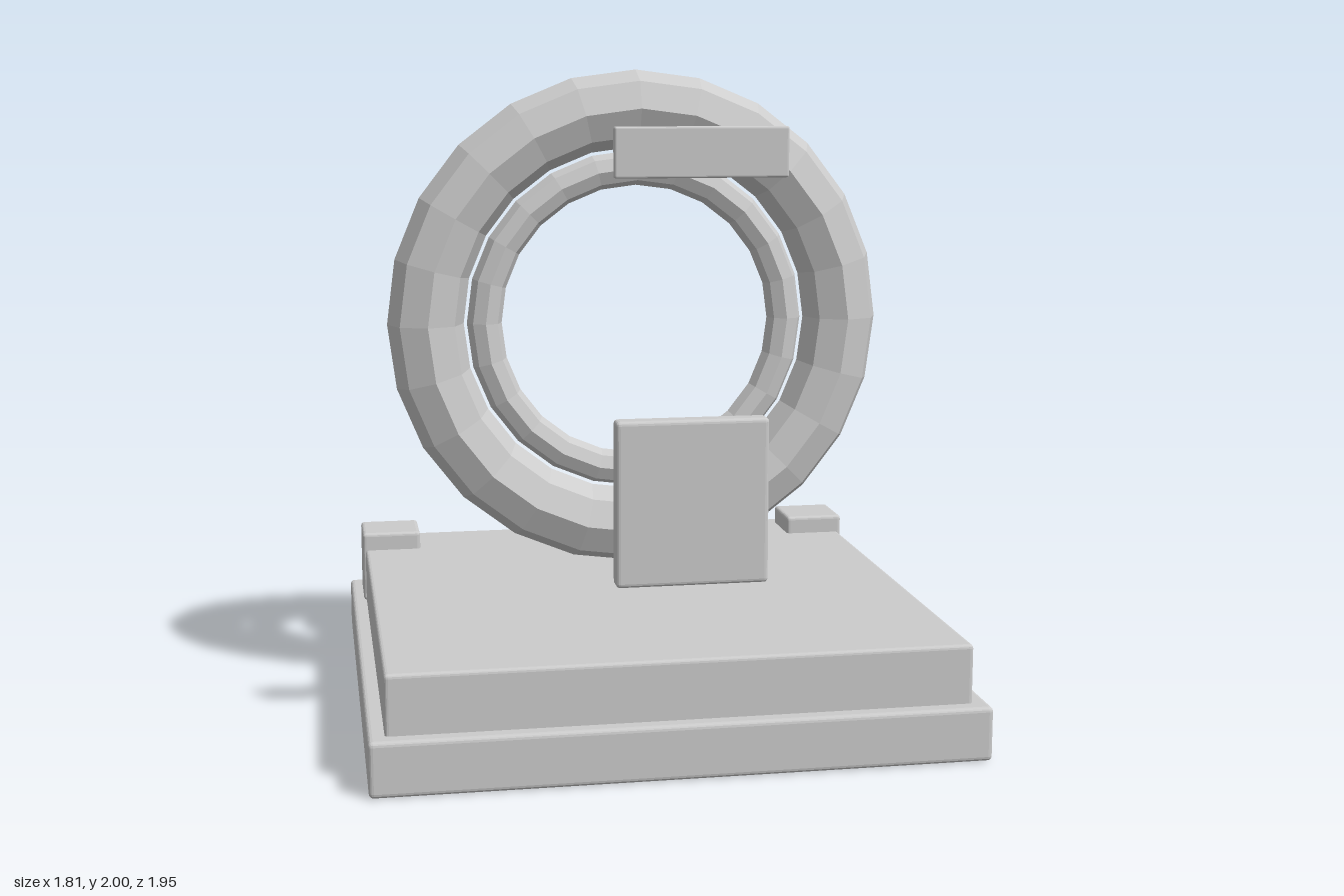
import * as THREE from 'three';
import { RoundedBoxGeometry } from 'three/addons/geometries/RoundedBoxGeometry.js';

export function createModel() {
  const model = new THREE.Group();
  model.name = 'ringMonument';

  const grey = new THREE.MeshStandardMaterial({ color: 0xcccccc, flatShading: true });
  grey.name = 'light grey';

  const CENTRE_Z = -0.069; // shared centre of the base and the rings

  const add = (name, geometry, x, y, z) => {
    const mesh = new THREE.Mesh(geometry, grey);
    mesh.name = name;
    mesh.position.set(x, y, z);
    model.add(mesh);
  };

  // Softly bevelled block standing on height y0
  const block = (name, w, h, d, x, y0, z, bevel) =>
    add(name, new RoundedBoxGeometry(w, h, d, 2, bevel), x, y0 + h / 2, z);

  // Stepped square base
  block('basePlinth', 1.807, 0.163, 1.807, 0, 0, CENTRE_Z, 0.014);
  block('baseUpperTier', 1.71, 0.19, 1.71, 0, 0.15, CENTRE_Z, 0.012);

  // Rear corner blocks
  for (const [side, name] of [[1, 'leftCornerBlock'], [-1, 'rightCornerBlock']]) {
    block(name, 0.2, 0.24, 0.2, side * 0.764, 0.16, -0.775, 0.012);
  }

  // Concentric faceted rings
  add('outerRing', new THREE.TorusGeometry(0.67, 0.12, 8, 24), 0, 1.21, CENTRE_Z);
  add('innerRing', new THREE.TorusGeometry(0.485, 0.055, 8, 24), 0, 1.21, CENTRE_Z);

  // Floating front plates
  block('controlPanel', 0.43, 0.467, 0.063, 0, 0.578, 0.839, 0.012);
  block('nameplate', 0.47, 0.135, 0.028, 0, 1.71, 0.959, 0.006);

  return model;
}
